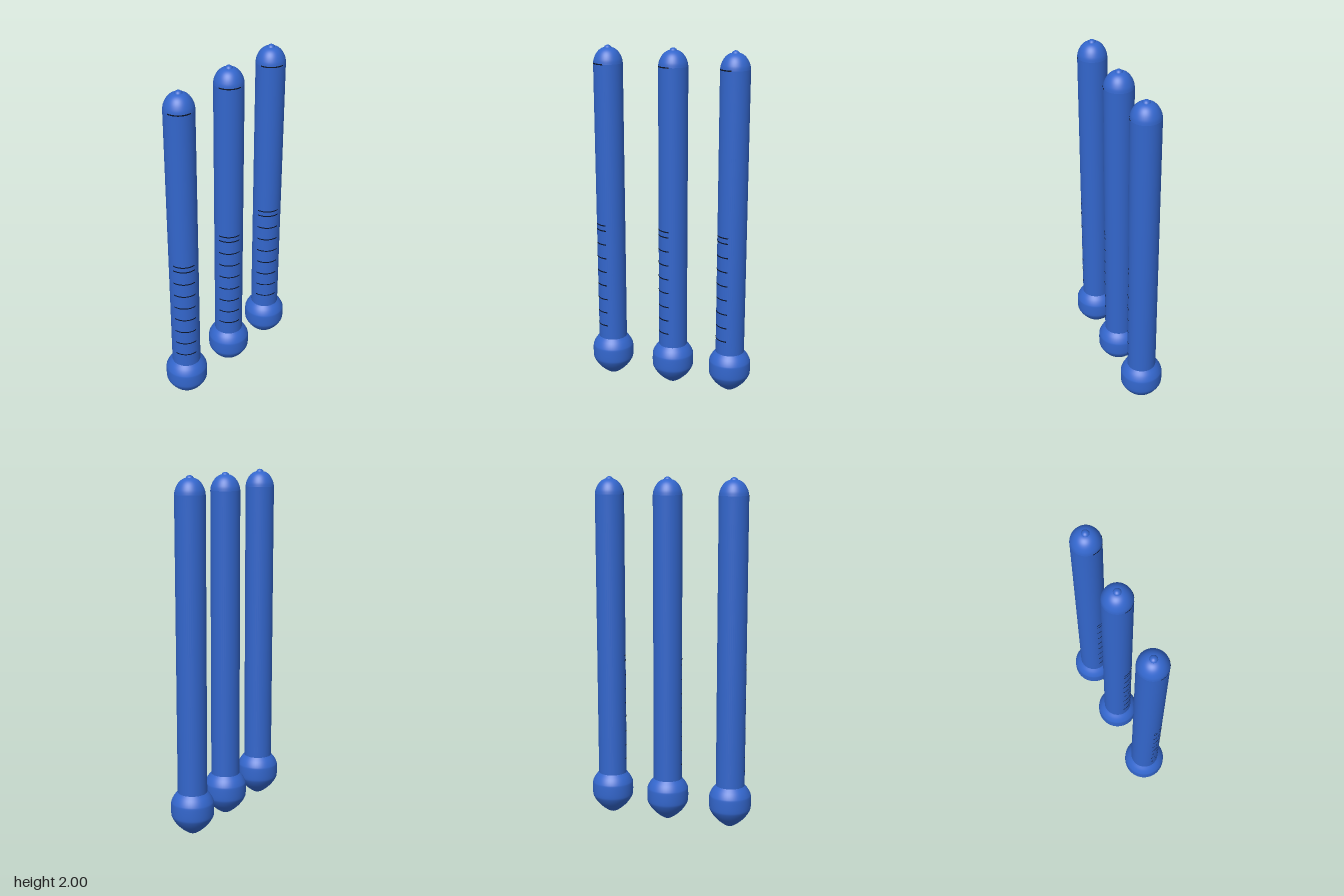
import * as THREE from 'three';

const blue = new THREE.MeshStandardMaterial({ color: 0x3366cc });
const dark = new THREE.MeshStandardMaterial({ color: 0x0a1428, side: THREE.DoubleSide });

const TUBE_R = 0.083;
const TICKS = [0.338, 0.422, 0.507, 0.595, 0.68, 0.765, 0.85, 0.935, 0.967, 1.9];

// Smooth surface of revolution through [radius, height] points
function turned(name, points) {
  const curve = new THREE.SplineCurve(points.map(([r, y]) => new THREE.Vector2(r, y)));
  const profile = curve.getPoints(points.length * 4);
  profile.forEach((p) => { p.x = Math.max(p.x, 0); });
  const mesh = new THREE.Mesh(new THREE.LatheGeometry(profile, 48), blue);
  mesh.name = name;
  return mesh;
}

function thermometer() {
  const group = new THREE.Group();

  // Swollen bulb with a blunt, rounded point at the bottom
  group.add(turned('bulb', [
    [0, 0], [0.025, 0.007], [0.06, 0.032], [0.092, 0.064], [0.115, 0.1], [0.121, 0.125],
    [0.121, 0.18], [0.117, 0.2], [0.103, 0.226], [TUBE_R, 0.25],
  ]));

  // Straight stem
  const stem = new THREE.Mesh(new THREE.CylinderGeometry(TUBE_R, TUBE_R, 1.66, 48, 1, true), blue);
  stem.name = 'stem';
  stem.position.y = 1.07;
  group.add(stem);

  // Domed end
  group.add(turned('dome', [
    [TUBE_R, 1.9], [0.079, 1.923], [0.067, 1.95], [0.05, 1.971], [0.028, 1.984], [0, 1.988],
  ]));

  // Small nub on the tip
  const nub = new THREE.Mesh(new THREE.SphereGeometry(0.023, 24, 16), blue);
  nub.name = 'tipNub';
  nub.position.y = 1.977;
  group.add(nub);

  // Graduation marks wrap the front quarter on the model's right
  const mark = new THREE.CylinderGeometry(
    TUBE_R + 0.0008, TUBE_R + 0.0008, 0.007, 16, 1, true, -Math.PI / 2, Math.PI / 2);
  for (const y of TICKS) {
    const tick = new THREE.Mesh(mark, dark);
    tick.name = 'graduationMark';
    tick.position.y = y;
    group.add(tick);
  }
  return group;
}

export function createModel() {
  const model = new THREE.Group();
  model.name = 'thermometers';
  [['rightThermometer', -0.368], ['middleThermometer', 0.015], ['leftThermometer', 0.366]]
    .forEach(([name, x]) => {
      const t = thermometer();
      t.name = name;
      t.position.x = x;
      model.add(t);
    });
  return model;
}
